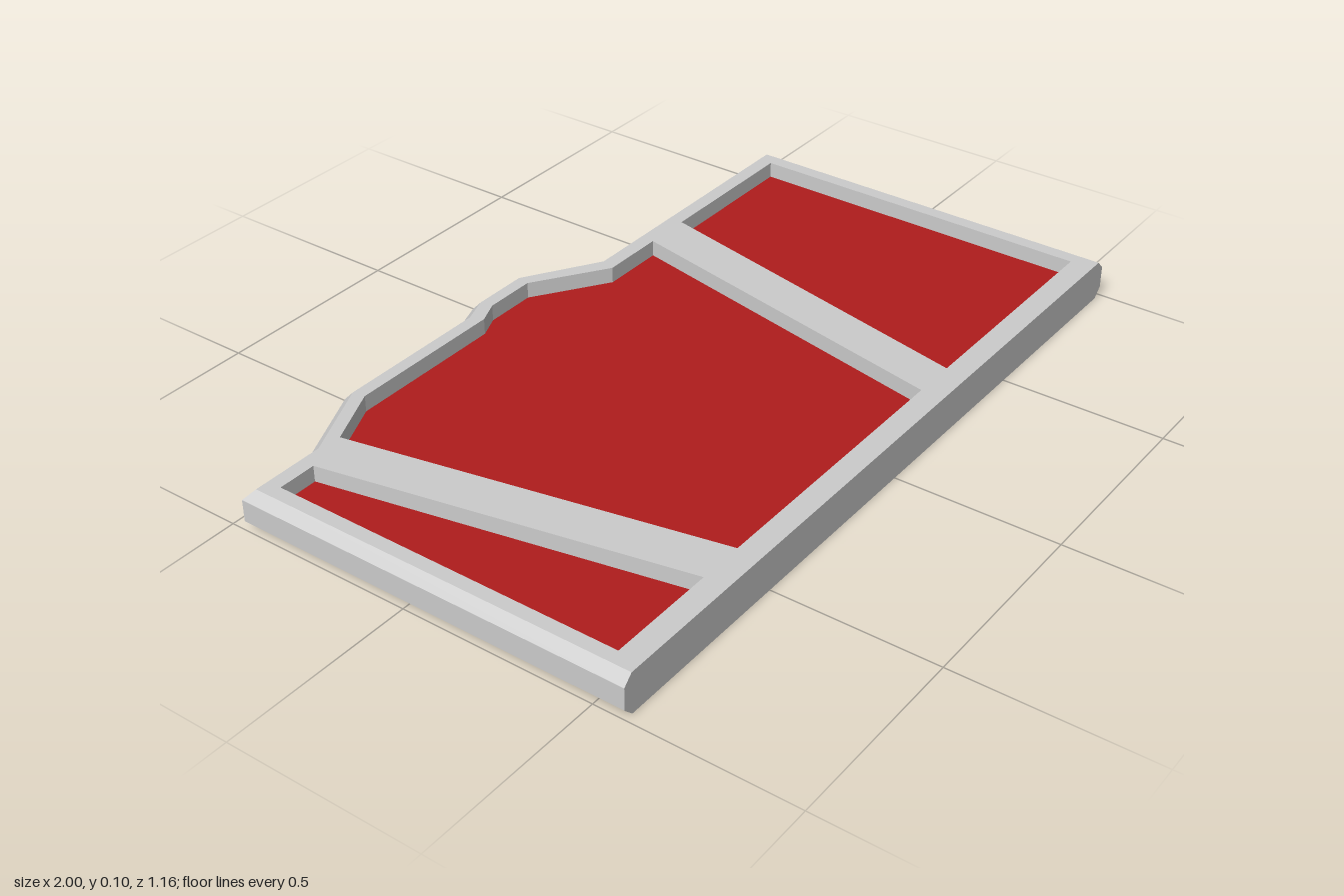
import * as THREE from 'three';

const HEIGHT = 0.105, BEVEL = 0.024;

// Outline points are [x, z]; front edge is straight, the other edges are chamfered
const rim = [[-1, 0.58], [1, 0.58], [1, -0.46], [0.25, -0.46], [0.06, -0.58],
  [-0.10, -0.58], [-0.17, -0.555], [-0.58, -0.555], [-0.79, -0.46], [-1, -0.46]];
const face = [[-0.976, 0.58], [0.976, 0.58], [0.976, -0.438], [0.243, -0.438], [0.052, -0.558],
  [-0.095, -0.558], [-0.165, -0.533], [-0.575, -0.533], [-0.785, -0.438], [-0.976, -0.438]];
const openings = {
  rightPanel: [[-0.94, -0.4], [-0.84, -0.4], [-0.655, 0.52], [-0.94, 0.52]],
  centrePanel: [[-0.725, -0.43], [-0.57, -0.5], [-0.15, -0.5], [-0.09, -0.525], [0.045, -0.525],
    [0.23, -0.4], [0.4, -0.4], [0.205, 0.52], [-0.535, 0.52]],
  leftPanel: [[0.525, -0.4], [0.94, -0.4], [0.94, 0.52], [0.32, 0.52]],
};

const toPoints = (list) => list.map(([x, z]) => new THREE.Vector2(x, -z));

// Flat plate lying in xz, from y = base upward
function plate(shape, base, depth, steps = 1) {
  const geo = new THREE.ExtrudeGeometry(shape, { depth, steps, bevelEnabled: false });
  geo.rotateX(-Math.PI / 2);
  geo.translate(0, base, 0);
  return geo;
}

function frameGeometry() {
  const shape = new THREE.Shape(toPoints(face));
  for (const list of Object.values(openings)) shape.holes.push(new THREE.Path(toPoints(list)));
  const geo = plate(shape, 0, HEIGHT, 3);
  const pos = geo.attributes.position;
  // Push the two middle rings out to the rim to form the chamfers
  for (let i = 0; i < pos.count; i++) {
    const x = pos.getX(i), y = pos.getY(i), z = pos.getZ(i);
    if (y < 0.01 || y > HEIGHT - 0.01) continue;
    pos.setY(i, y < HEIGHT / 2 ? BEVEL : HEIGHT - BEVEL);
    const k = face.findIndex(([fx, fz]) => Math.hypot(fx - x, fz - z) < 1e-4);
    if (k >= 0) {
      pos.setX(i, rim[k][0]);
      pos.setZ(i, rim[k][1]);
    }
  }
  geo.computeVertexNormals();
  return geo;
}

export function createModel() {
  const group = new THREE.Group();
  const add = (name, geo, color) => {
    const mesh = new THREE.Mesh(geo, new THREE.MeshStandardMaterial({ color, flatShading: true }));
    mesh.name = name;
    group.add(mesh);
  };

  // Frame with its two slanted bars
  add('frame', frameGeometry(), 0xcccccc);

  // Recessed coloured panels, visible from both sides
  for (const [name, list] of Object.entries(openings)) {
    add(name, plate(new THREE.Shape(toPoints(list)), 0.042, 0.021), 0xb01c1c);
  }
  return group;
}
